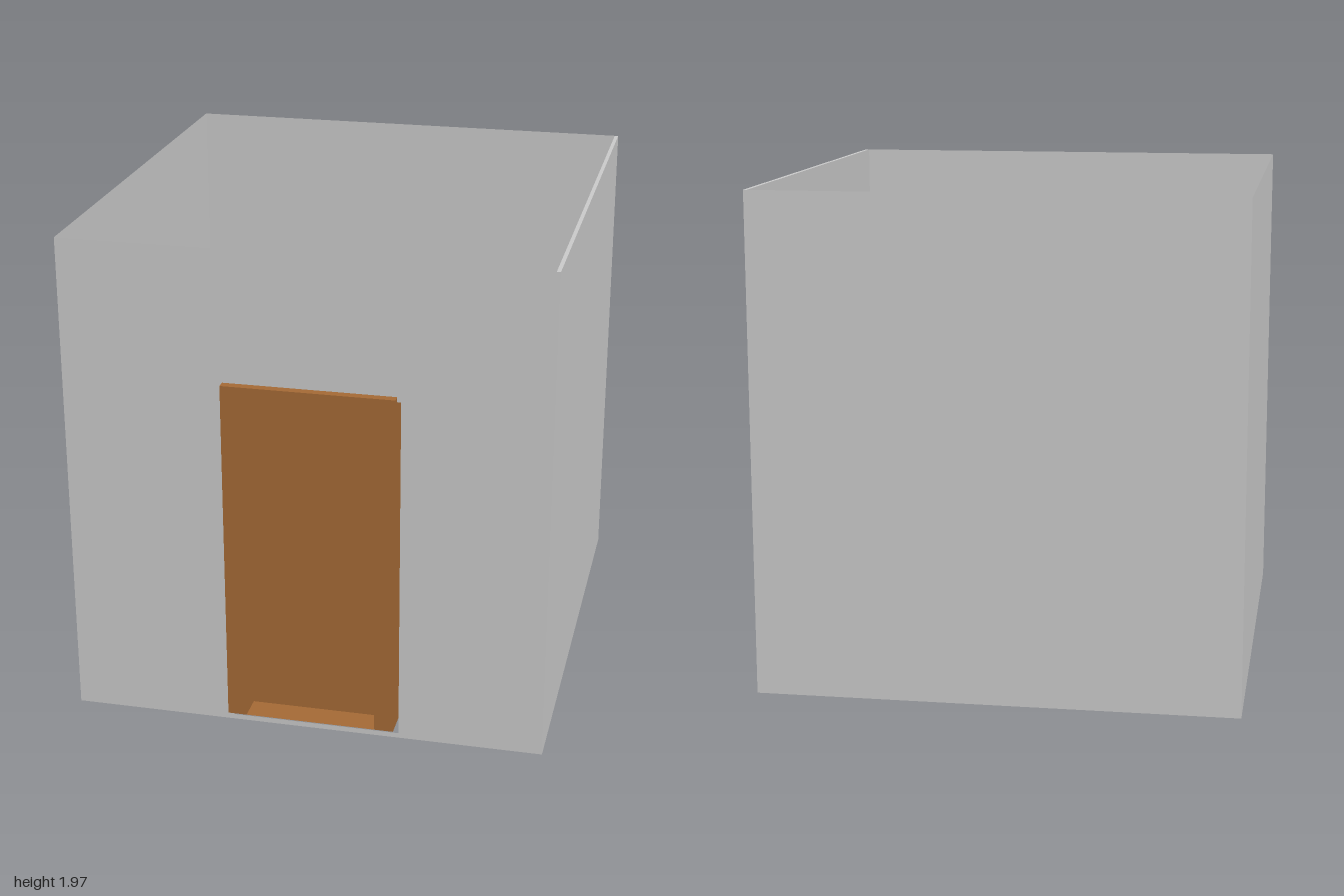
import * as THREE from 'three';

const grey = new THREE.MeshStandardMaterial({ color: 0xcccccc, side: THREE.DoubleSide, flatShading: true });
const wood = new THREE.MeshStandardMaterial({ color: 0xa56a36, side: THREE.DoubleSide, flatShading: true });

function rectPoints(x0, x1, y0, y1) {
  return [[x0, y0], [x1, y0], [x1, y1], [x0, y1]].map(([x, y]) => new THREE.Vector2(x, y));
}

function add(parent, name, geometry, material) {
  const mesh = new THREE.Mesh(geometry, material);
  mesh.name = name;
  parent.add(mesh);
  return mesh;
}

// Flat rectangles facing along each axis
function facingZ(x0, x1, y0, y1, z) {
  return new THREE.PlaneGeometry(x1 - x0, y1 - y0).translate((x0 + x1) / 2, (y0 + y1) / 2, z);
}
function facingX(x, y0, y1, z0, z1) {
  return new THREE.PlaneGeometry(z1 - z0, y1 - y0).rotateY(Math.PI / 2).translate(x, (y0 + y1) / 2, (z0 + z1) / 2);
}
function facingY(x0, x1, y, z0, z1) {
  return new THREE.PlaneGeometry(x1 - x0, z1 - z0).rotateX(-Math.PI / 2).translate((x0 + x1) / 2, y, (z0 + z1) / 2);
}

export function createModel() {
  const model = new THREE.Group();
  model.name = 'roomWithDoor';

  const W = 0.945, H = 1.97, front = 0.965, back = -1;

  // Room walls, open above and below; only the left wall has thickness
  const room = new THREE.Group();
  room.name = 'room';
  model.add(room);
  const frontShape = new THREE.Shape(rectPoints(-W, W, 0, H));
  frontShape.holes.push(new THREE.Path(rectPoints(-0.295, 0.375, 0.02, 1.425)));
  add(room, 'frontWall', new THREE.ShapeGeometry(frontShape).translate(0, 0, front), grey);
  add(room, 'backWall', facingZ(-W, W, 0, H, back), grey);
  add(room, 'rightWall', facingX(-W, 0, H, back, front), grey);
  const slab = new THREE.BoxGeometry(0.015, H, front - back);
  add(room, 'leftWall', slab.translate(W - 0.0075, H / 2, (front + back) / 2), grey);

  // Door: a shell open at the back, with a deeply recessed panel
  const door = new THREE.Group();
  door.name = 'door';
  model.add(door);
  const x0 = -0.31, x1 = 0.36, y0 = 0.045, y1 = 1.445; // outer edge
  const a0 = -0.235, a1 = 0.285, top = 1.37; // opening
  const zBack = 0.88, zPanel = 0.892, zFront = 1;

  const face = [[x0, y0], [a0, y0], [a0, top], [a1, top], [a1, y0], [x1, y0], [x1, y1], [x0, y1]];
  const faceShape = new THREE.Shape(face.map(([x, y]) => new THREE.Vector2(x, y)));
  add(door, 'frameFace', new THREE.ShapeGeometry(faceShape).translate(0, 0, zFront), wood);

  for (const x of [x0, x1]) add(door, 'frameSide', facingX(x, y0, y1, zBack, zFront), wood);
  add(door, 'frameTop', facingY(x0, x1, y1, zBack, zFront), wood);
  add(door, 'sill', facingY(x0, x1, y0, zBack, zFront), wood);

  // Reveals from the frame face back to the panel
  for (const x of [a0, a1]) add(door, 'sideReveal', facingX(x, y0, top, zPanel, zFront), wood);
  add(door, 'topReveal', facingY(a0, a1, top, zPanel, zFront), wood);
  add(door, 'doorPanel', facingZ(a0, a1, y0, top, zPanel), wood);

  return model;
}
